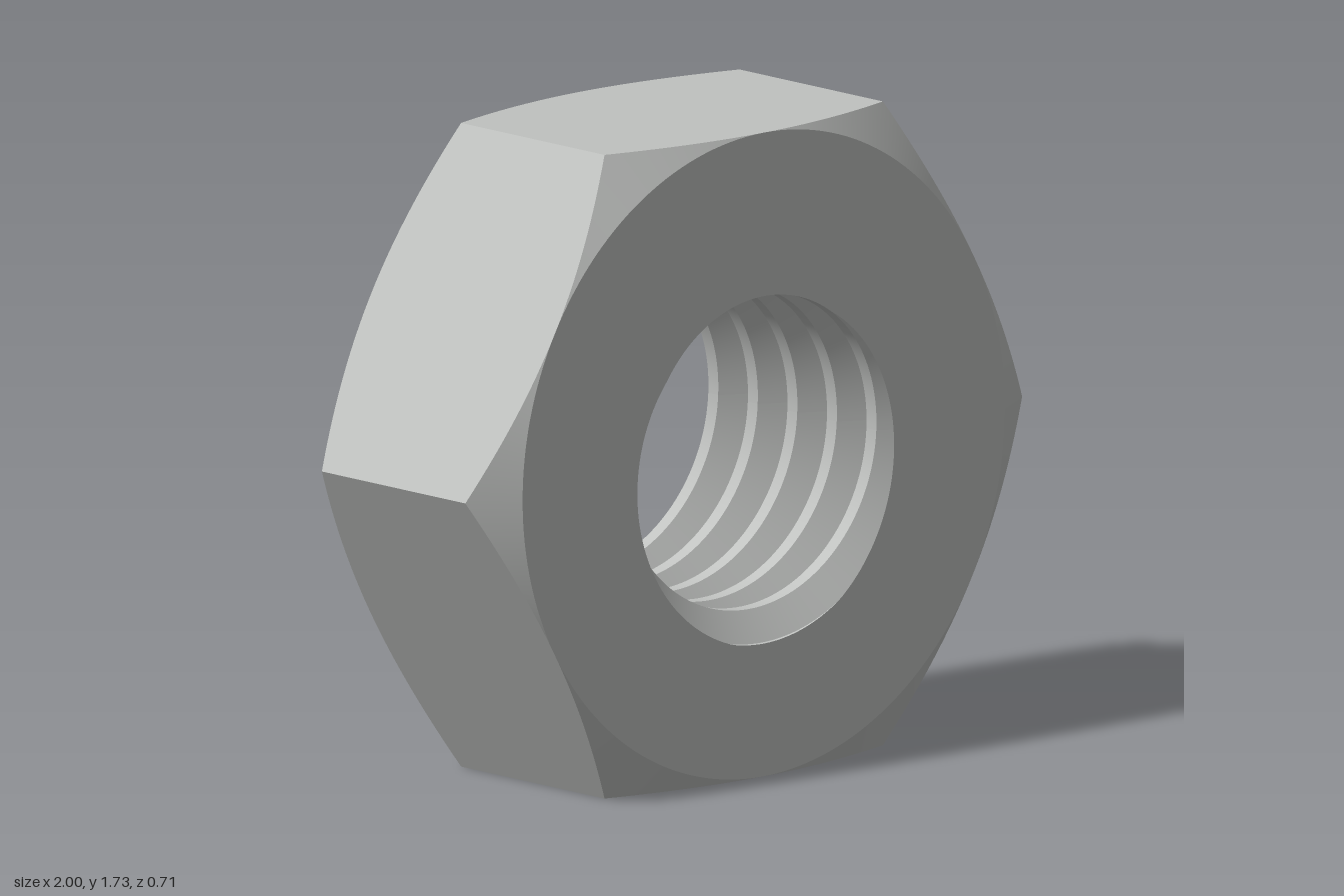
import * as THREE from 'three';

const STEPS = 180, TAU = Math.PI * 2;
const APOTHEM = Math.sqrt(3) / 2, HALF = 0.355;
const CHAMFER = Math.tan(Math.PI / 6);
const MINOR = 0.426, DEPTH = 0.083, PITCH = 0.153, START = 280 / 360;

// Distance from the axis to the hexagon's outline
const hexRadius = (a) => APOTHEM / Math.cos((a % (TAU / 6)) - TAU / 12);
// Height of the chamfered edge at the outline
const edgeZ = (a) => HALF - (hexRadius(a) - APOTHEM) * CHAMFER;
// Thread phase at a depth below the front face, and its radius
const boreRadius = (a, depth) => {
  const s = a / TAU - START + depth / PITCH;
  const u = Math.abs(s - Math.round(s));
  return MINOR + DEPTH * THREE.MathUtils.clamp((3 / 8 - u) / (5 / 16), 0, 1);
};

// Surface between two closed curves; each gives [radius, z] at an angle
function band(curveA, curveB, flat = false) {
  const pos = [], index = [];
  for (let i = 0; i <= STEPS; i++) {
    const a = (i / STEPS) * TAU;
    for (const [r, z] of [curveA(a), curveB(a)]) pos.push(r * Math.cos(a), r * Math.sin(a), z);
  }
  const same = (p) => Math.abs(pos[p * 3 + 2] - pos[p * 3 + 5]) < 1e-9
    && Math.hypot(pos[p * 3] - pos[p * 3 + 3], pos[p * 3 + 1] - pos[p * 3 + 4]) < 1e-9;
  for (let i = 0; i < STEPS; i++) {
    const p = i * 2;
    if (same(p) && same(p + 2)) continue;
    index.push(p, p + 2, p + 3, p, p + 3, p + 1);
  }
  let geo = new THREE.BufferGeometry();
  geo.setAttribute('position', new THREE.Float32BufferAttribute(pos, 3));
  geo.setIndex(index);
  if (flat) geo = geo.toNonIndexed();
  geo.computeVertexNormals();
  return geo;
}

export function createModel() {
  const steel = new THREE.MeshStandardMaterial({ color: 0xc0c2c0 });
  steel.name = 'steel';
  const nut = new THREE.Group();
  nut.name = 'hexNut';
  const add = (parent, name, geo) => {
    const mesh = new THREE.Mesh(geo, steel);
    mesh.name = name;
    parent.add(mesh);
  };

  // Six flat sides with curved upper and lower edges
  add(nut, 'hexSides', band((a) => [hexRadius(a), -edgeZ(a)], (a) => [hexRadius(a), edgeZ(a)], true));

  // Conical corner chamfers and flat end faces
  for (const [name, side] of [['front', 1], ['back', -1]]) {
    const corner = (a) => [hexRadius(a), side * edgeZ(a)];
    const rim = () => [APOTHEM, side * HALF];
    const bore = (a) => [boreRadius(a, side > 0 ? 0 : 2 * HALF), side * HALF];
    const facing = (outer, inner) => (side > 0 ? band(outer, inner) : band(inner, outer));
    add(nut, name + 'Chamfer', facing(corner, rim));
    add(nut, name + 'Face', facing(rim, bore));
  }

  // Right-handed thread: root, flank, crest and flank strips for every turn
  const thread = new THREE.Group();
  thread.name = 'thread';
  nut.add(thread);
  const breaks = [-1 / 16, 1 / 16, 3 / 8, 5 / 8, 15 / 16];
  const names = ['threadRoot', 'threadFrontFlank', 'threadCrest', 'threadBackFlank'];
  const helix = (s) => (a) => {
    const d = THREE.MathUtils.clamp(PITCH * (s - a / TAU + START), 0, 2 * HALF);
    return [boreRadius(a, d), HALF - d];
  };
  for (let turn = -2; turn <= 6; turn++) {
    names.forEach((name, k) => {
      const geo = band(helix(turn + breaks[k]), helix(turn + breaks[k + 1]));
      if (geo.index.count) add(thread, name, geo);
    });
  }

  nut.position.y = APOTHEM;
  const model = new THREE.Group();
  model.name = 'model';
  model.add(nut);
  return model;
}
